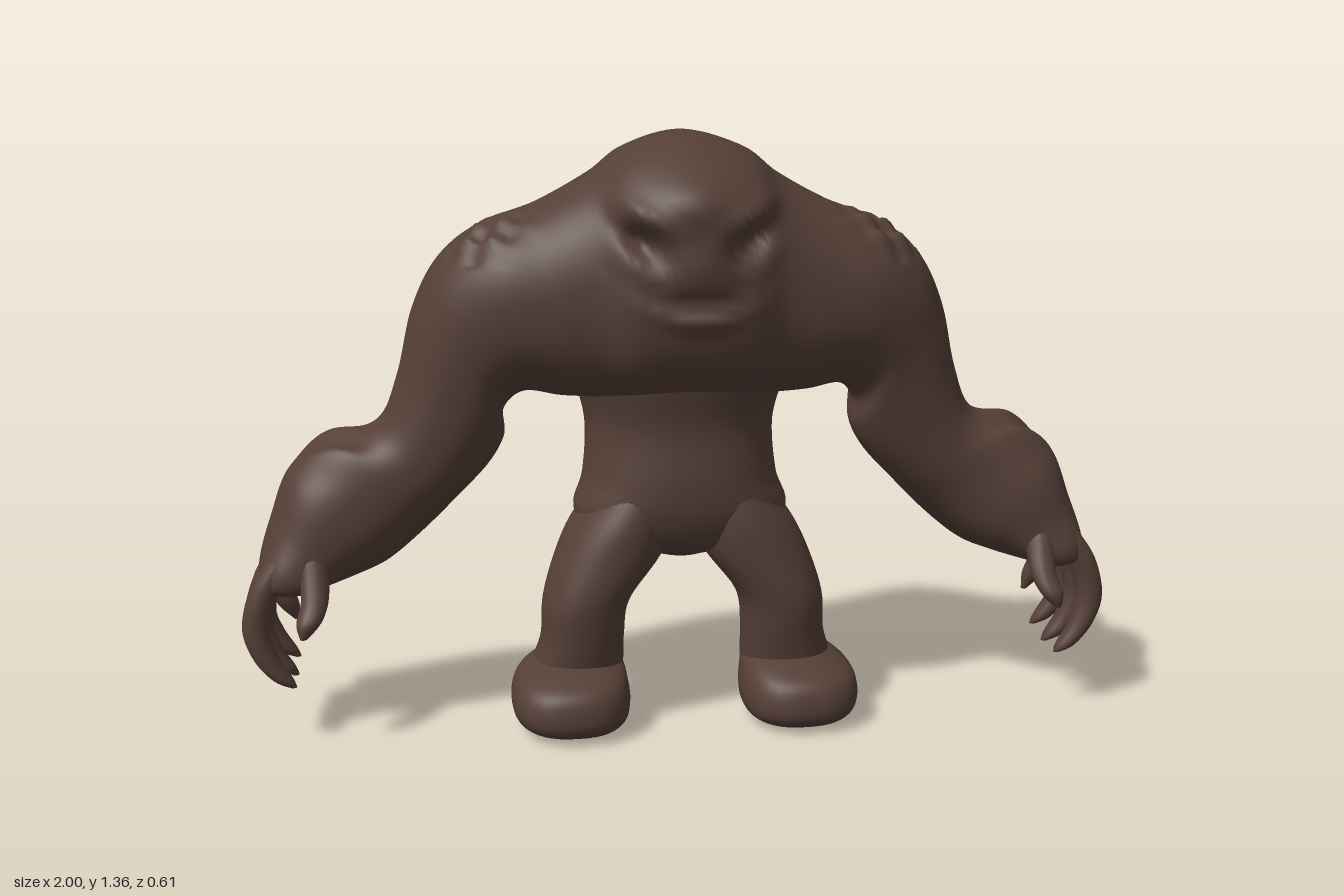
import * as THREE from 'three';

const brown = new THREE.MeshStandardMaterial({ color: 0x553f37 });
brown.name = 'brown hide';

// Catmull-Rom blend of two neighbouring cross-sections
const blend = (p0, p1, p2, p3, t) => p1.map((b, k) => {
  const a = p0[k], c = p2[k], d = p3[k];
  return b + 0.5 * t * (c - a + t * (2 * a - 5 * b + 4 * c - d + t * (3 * (b - c) + d - a)));
});

// Skin over rings [ax, ay, bx, by, zFront, zBack, frontPower, backPower];
// a and b are the two side points of a ring
function loft(name, rings, steps, sides, warp) {
  const pos = [], index = [], n = rings.length;
  const R = (i) => rings[Math.max(0, Math.min(n - 1, i))];
  const rows = (n - 1) * steps + 1;
  for (let i = 0; i < rows; i++) {
    const k = Math.min(Math.floor(i / steps), n - 2);
    const [ax, ay, bx, by, zf, zb, ef = 2, eb = 2] =
      blend(R(k - 1), R(k), R(k + 1), R(k + 2), i / steps - k);
    for (let j = 0; j < sides; j++) {
      const t = (j / sides) * Math.PI * 2, s = Math.sin(t), c = Math.cos(t);
      const e = 2 / (c > 0 ? ef : eb);
      const u = Math.sign(s) * Math.abs(s) ** e, v = Math.sign(c) * Math.abs(c) ** e;
      const p = new THREE.Vector3(
        (ax + bx) / 2 + ((ax - bx) / 2) * u,
        (ay + by) / 2 + ((ay - by) / 2) * u,
        (zf + zb) / 2 + ((zf - zb) / 2) * v);
      if (warp) warp(p);
      pos.push(p.x, p.y, p.z);
    }
  }
  for (let i = 0; i < rows - 1; i++) for (let j = 0; j < sides; j++) {
    const a = i * sides + j, b = i * sides + (j + 1) % sides;
    index.push(a, a + sides, b, b, a + sides, b + sides);
  }
  // close both ends
  const last = (rows - 1) * sides;
  for (let j = 1; j < sides - 1; j++) index.push(0, j, j + 1, last, last + j + 1, last + j);
  const g = new THREE.BufferGeometry();
  g.setAttribute('position', new THREE.Float32BufferAttribute(pos, 3));
  g.setIndex(index);
  g.computeVertexNormals();
  const mesh = new THREE.Mesh(g, brown);
  mesh.name = name;
  return mesh;
}

const bump = (dx, dy, sx, sy) => Math.exp(-((dx / sx) ** 2) - (dy / sy) ** 2);

// Face relief on the chest, crumpled hide on shoulders and wrists
function sculpt(p) {
  const x = Math.abs(p.x), { y, z } = p;
  if (z > 0.05) {
    const eyeY = 1.135 + (x - 0.12) * 0.5;
    p.z += 0.045 * bump(x, y - 1.22, 0.13, 0.07)
      + 0.022 * bump(x - 0.11, y - eyeY - 0.06, 0.06, 0.025)
      - 0.05 * bump(x - 0.12, y - eyeY, 0.045, 0.028)
      + 0.025 * bump(x, y - 1.08, 0.075, 0.06)
      - 0.025 * bump(x, y - 1.0 - x * x * 2, 0.11, 0.014)
      + 0.018 * bump(x, y - 0.97 - x * x * 2, 0.1, 0.02);
  }
  const shoulder = bump(x - 0.46, z - 0.09, 0.09, 0.07) * (y > 1.08 ? 1 : 0);
  p.y += 0.02 * shoulder * Math.sin(x * 75 + z * 30) * Math.cos(z * 70);
  const wrist = bump(x - 0.79, y - 0.65, 0.08, 0.05);
  p.y += 0.014 * wrist * Math.sin(z * 55 + x * 30);
  // hide folds behind the armpits
  if (z < -0.05) p.z -= 0.02 * bump(x - 0.4, y - 0.82, 0.05, 0.06) * Math.sin(x * 70 + y * 40);
}

// Upright ring from centre x, height, half width and depth range
const level = (cx, y, w, zf, zb, ef = 2, eb = 2) => [cx + w, y, cx - w, y, zf, zb, ef, eb];
const mirror = ([ax, ay, bx, by, ...rest]) => [-bx, by, -ax, ay, ...rest];

function addPair(group, name, rings, steps, sides) {
  group.add(loft('left' + name, rings, steps, sides));
  group.add(loft('right' + name, rings.map(mirror), steps, sides));
}

export function createModel() {
  const model = new THREE.Group();
  model.name = 'hulkingCreature';

  // Head, shoulders and arms in one sweep from hand to hand
  const half = [
    [0.13, 1.328, 0.11, 0.765, 0.275, -0.235, 2.4, 2.4],
    [0.21, 1.27, 0.2, 0.77, 0.235, -0.205, 2.3, 2.4],
    [0.33, 1.205, 0.28, 0.775, 0.215, -0.185, 2.2, 2.4],
    [0.45, 1.16, 0.36, 0.785, 0.195, -0.19, 2.2, 2.3],
    [0.545, 1.085, 0.405, 0.745, 0.165, -0.185, 2.2, 2.2],
    [0.605, 0.97, 0.405, 0.68, 0.14, -0.18, 2.2, 2.2],
    [0.642, 0.82, 0.44, 0.615, 0.12, -0.175, 2.2, 2.2],
    [0.69, 0.715, 0.51, 0.54, 0.105, -0.175, 2.2, 2.2],
    [0.80, 0.68, 0.59, 0.46, 0.10, -0.185, 2.2, 2.2],
    [0.89, 0.61, 0.67, 0.395, 0.11, -0.195, 2.2, 2.2],
    [0.935, 0.5, 0.74, 0.365, 0.11, -0.195, 2.2, 2.2],
    [0.962, 0.41, 0.815, 0.345, 0.115, -0.19, 2.4, 2.4],
    [0.96, 0.36, 0.86, 0.335, 0.095, -0.17, 2.4, 2.4],
    [0.925, 0.338, 0.905, 0.335, 0.03, -0.1, 2, 2],
  ];
  const centre = [0, 1.362, 0, 0.76, 0.285, -0.285, 2.5, 2.4];
  const otherHalf = half.map(([ax, ay, bx, by, ...r]) => [-ax, ay, -bx, by, ...r]).reverse();
  model.add(loft('upperBodyAndArms', [...otherHalf, centre, ...half], 9, 96, sculpt));

  // Torso with a ridged back
  model.add(loft('torso', [
    level(0, 1.24, 0.08, 0.05, -0.19, 2, 1.6),
    level(0, 1.15, 0.2, 0.12, -0.245, 2, 1.5),
    level(0, 1.0, 0.3, 0.19, -0.3, 2, 1.5),
    level(0, 0.9, 0.29, 0.2, -0.295, 2, 1.5),
    level(0, 0.8, 0.245, 0.175, -0.28, 2.2, 1.6),
    level(0, 0.7, 0.218, 0.15, -0.265, 2.3, 1.7),
    level(0, 0.58, 0.225, 0.155, -0.24, 2.3, 1.8),
    level(0, 0.5, 0.248, 0.145, -0.19, 2.3, 2),
    level(0, 0.43, 0.2, 0.11, -0.13, 2.2, 2),
    level(0, 0.39, 0.05, 0.04, -0.05),
  ], 6, 64));

  // Legs
  addPair(model, 'Leg', [
    level(0.1, 0.56, 0.09, 0.13, -0.15),
    level(0.135, 0.48, 0.12, 0.147, -0.155),
    level(0.172, 0.4, 0.122, 0.15, -0.13, 2.2, 2.2),
    level(0.225, 0.3, 0.1, 0.15, -0.095, 2.2, 2.2),
    level(0.235, 0.21, 0.096, 0.135, -0.085, 2.2, 2.2),
    level(0.245, 0.14, 0.105, 0.12, -0.095, 2.2, 2.2),
    level(0.25, 0.07, 0.1, 0.11, -0.085),
  ], 6, 40);

  // Feet
  addPair(model, 'Foot', [
    level(0.25, 0.17, 0.07, 0.08, -0.07),
    level(0.255, 0.145, 0.11, 0.15, -0.1, 2.3, 2.3),
    level(0.265, 0.115, 0.13, 0.205, -0.1, 2.4, 2.4),
    level(0.267, 0.07, 0.136, 0.22, -0.09, 2.5, 2.5),
    level(0.265, 0.03, 0.125, 0.212, -0.08, 2.5, 2.5),
    level(0.262, 0.006, 0.09, 0.17, -0.055, 2.5, 2.5),
    level(0.26, 0, 0.04, 0.1, -0.01),
  ], 5, 40);

  // Curved fingers: path points [x, y, z] and thickness
  const long = (z, drop) => [[0.9, 0.43, z * 0.85], [0.945, 0.36, z * 0.95], [0.968, 0.27, z],
    [0.95, 0.2 + drop, z * 1.05], [0.915, 0.15 + drop, z * 1.08], [0.892, 0.13 + drop, z * 1.1]];
  const fingers = [
    ['FirstFinger', long(0.075, 0), 0.032],
    ['MiddleFinger', long(-0.005, 0), 0.033],
    ['RingFinger', long(-0.085, 0.015), 0.032],
    ['LittleFinger', [[0.87, 0.44, -0.15], [0.91, 0.37, -0.16], [0.93, 0.3, -0.17],
      [0.915, 0.25, -0.176], [0.895, 0.21, -0.178]], 0.028],
    ['Thumb', [[0.84, 0.45, 0.07], [0.835, 0.39, 0.1], [0.835, 0.34, 0.13],
      [0.848, 0.3, 0.155], [0.86, 0.268, 0.168]], 0.03],
  ];
  const taper = [1, 1.05, 1, 0.9, 0.72, 0.15];
  for (const [name, path, r] of fingers) {
    const rings = path.map(([x, y, z], i) => {
      const w = r * (i === path.length - 1 ? 0.25 : taper[i]);
      return level(x, y, w, z + w, z - w);
    });
    addPair(model, name, rings, 5, 16);
  }
  return model;
}
